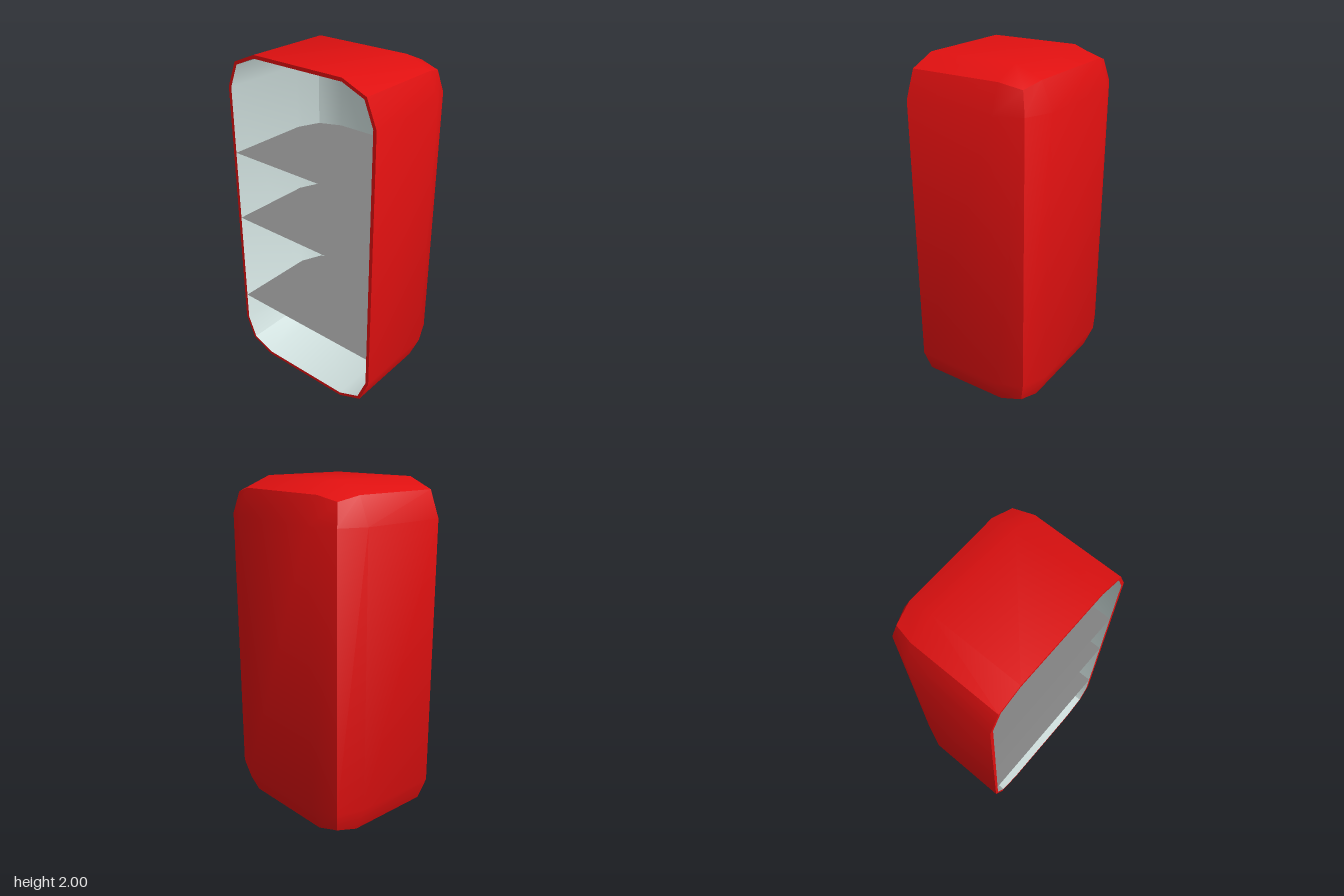
import * as THREE from 'three';
import { RoundedBoxGeometry } from 'three/addons/geometries/RoundedBoxGeometry.js';
import { toCreasedNormals } from 'three/addons/utils/BufferGeometryUtils.js';

const WIDTH = 1.016, HEIGHT = 2, DEPTH = 0.74, RADIUS = 0.212, WALL = 0.02;

// Rounded box with its front bevel cut away, open at z = 0; inset > 0 gives the lining, facing inwards
function openBox(inset) {
  const r = RADIUS - inset;
  const depth = DEPTH - inset + r;
  const box = new RoundedBoxGeometry(WIDTH - 2 * inset, HEIGHT - 2 * inset, depth, 1, r);
  box.translate(0, HEIGHT / 2, r - depth / 2);
  const source = box.index ? box.toNonIndexed() : box;
  const p = source.attributes.position;
  const kept = [];
  for (let i = 0; i < p.count; i += 3) {
    const corners = inset > 0 ? [i, i + 2, i + 1] : [i, i + 1, i + 2];
    if (corners.some((k) => p.getZ(k) > 1e-4)) continue;
    for (const k of corners) kept.push(p.getX(k), p.getY(k), p.getZ(k));
  }
  const geometry = new THREE.BufferGeometry();
  geometry.setAttribute('position', new THREE.Float32BufferAttribute(kept, 3));
  return toCreasedNormals(geometry, 0.65);
}

// Three points of one bevelled corner, from the side to the end
function corner(halfWidth, end, r) {
  return [0, Math.PI / 4, Math.PI / 2].map((a) =>
    new THREE.Vector2(halfWidth - r + r * Math.cos(a), end - r + r * Math.sin(a)));
}

// Upright outline of the front opening
function frontOutline(inset) {
  const upperRight = corner(WIDTH / 2 - inset, HEIGHT / 2 - inset, RADIUS - inset);
  const upper = [...upperRight, ...upperRight.map((v) => new THREE.Vector2(-v.x, v.y)).reverse()];
  const lower = upper.map((v) => new THREE.Vector2(-v.x, -v.y));
  return [...upper, ...lower];
}

export function createModel() {
  const model = new THREE.Group();
  const cabinet = new THREE.Group();
  cabinet.name = 'cabinet';
  // The cabinet stands turned about the vertical
  cabinet.rotation.y = -0.554;
  cabinet.position.set(-0.1525, 0, 0.2675);
  model.add(cabinet);

  const red = new THREE.MeshStandardMaterial({ color: 0xe01010 });
  const pale = new THREE.MeshStandardMaterial({ color: 0xd0e0de });
  const grey = new THREE.MeshStandardMaterial({ color: 0x808080, side: THREE.DoubleSide });
  const add = (name, geometry, material) => {
    const mesh = new THREE.Mesh(geometry, material);
    mesh.name = name;
    cabinet.add(mesh);
    return mesh;
  };

  add('outerShell', openBox(0), red);
  add('innerLining', openBox(WALL), pale);

  // Narrow rim joining shell and lining
  const rim = new THREE.Shape(frontOutline(0));
  rim.holes.push(new THREE.Path(frontOutline(WALL)));
  add('frontRim', new THREE.ShapeGeometry(rim).translate(0, HEIGHT / 2, 0), red);

  // Thin shelves filling the plan of the lining
  const half = WIDTH / 2 - WALL;
  const backCorner = corner(half, DEPTH - WALL, RADIUS - WALL);
  const plan = new THREE.Shape([
    new THREE.Vector2(-half, 0), new THREE.Vector2(half, 0),
    ...backCorner, ...backCorner.map((v) => new THREE.Vector2(-v.x, v.y)).reverse(),
  ]);
  const shelf = new THREE.ShapeGeometry(plan).rotateX(-Math.PI / 2);
  [0.39, 0.965, 1.395].forEach((y, i) => {
    add(`shelf${i + 1}`, shelf, grey).position.y = y;
  });

  return model;
}
